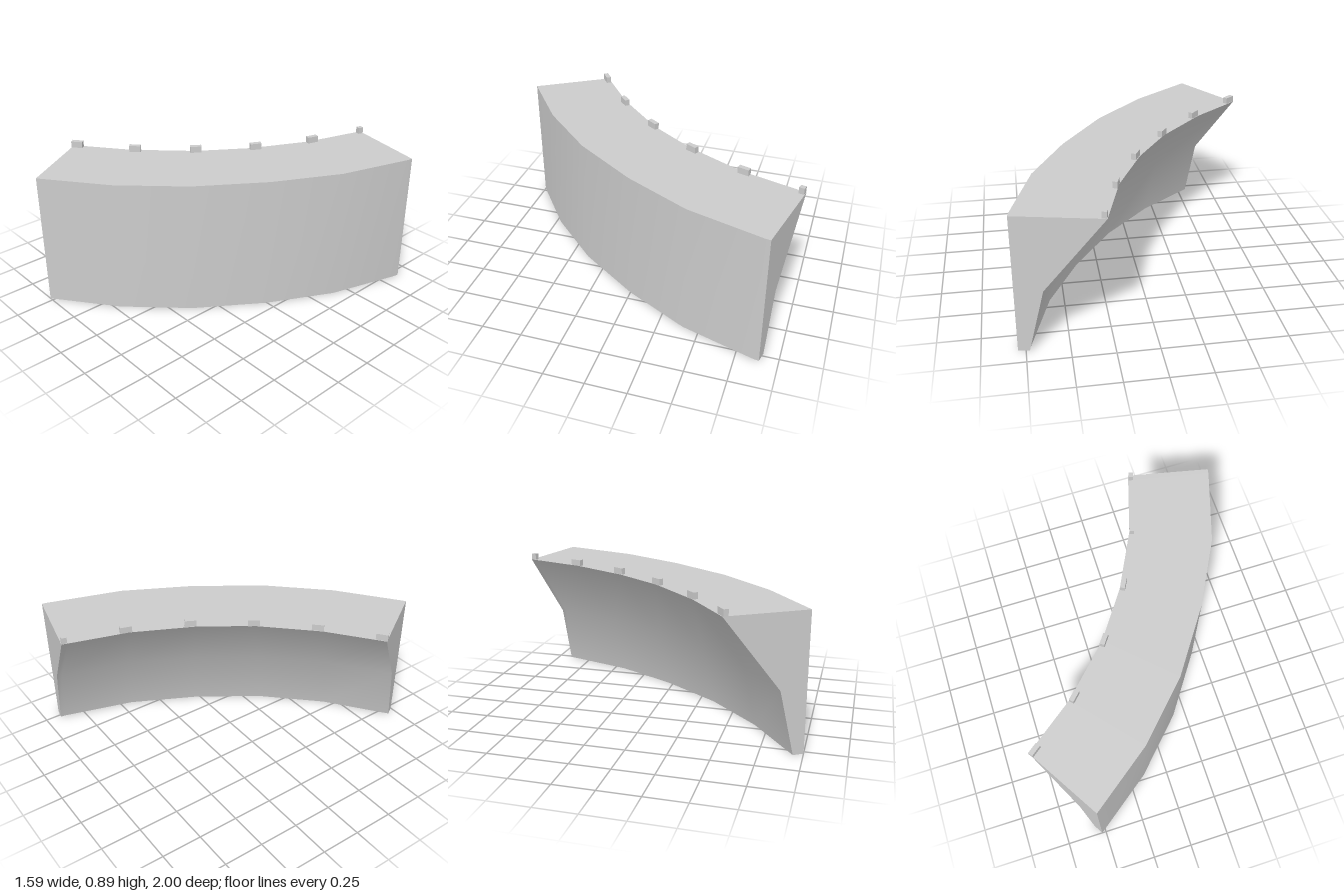
import * as THREE from 'three';
import { toCreasedNormals } from 'three/addons/utils/BufferGeometryUtils.js';

const TOP = 0.855;
// Plan of the curved wall, [x, z] from the front end to the back end
const OUTER = [[-0.525, 1], [-0.15, 0.72], [0.17, 0.39], [0.44, 0], [0.65, -0.4], [0.79, -0.86], [0.795, -0.89]];
const INNER = [[-0.795, 0.56], [-0.49, 0.33], [-0.2, 0.035], [0, -0.255], [0.175, -0.61], [0.28, -0.965], [0.29, -1]];
// Cross-section: [fraction from outer to inner edge, height]
const SECTION = [[0, 0], [0, TOP], [1, TOP], [0.315, 0.4], [0.13, 0]];

function wallGeometry() {
  const positions = [], index = [], n = SECTION.length, last = (OUTER.length - 1) * n;
  OUTER.forEach(([ox, oz], i) => {
    const [ix, iz] = INNER[i];
    for (const [t, y] of SECTION) positions.push(ox + (ix - ox) * t, y, oz + (iz - oz) * t);
  });
  for (let i = 0; i < OUTER.length - 1; i++) {
    for (let k = 0; k < n; k++) {
      const a = i * n + k, b = i * n + (k + 1) % n;
      index.push(a, a + n, b + n, a, b + n, b);
    }
  }
  // End caps fan out from the concave corner of the section
  for (const [p, q] of [[4, 0], [0, 1], [1, 2]]) {
    index.push(3, p, q, last + 3, last + q, last + p);
  }
  const geometry = new THREE.BufferGeometry();
  geometry.setAttribute('position', new THREE.Float32BufferAttribute(positions, 3));
  geometry.setIndex(index);
  return toCreasedNormals(geometry, 0.6);
}

export function createModel() {
  const group = new THREE.Group();
  group.name = 'curvedWall';
  const material = new THREE.MeshStandardMaterial({ color: 0xcccccc });

  const wall = new THREE.Mesh(wallGeometry(), material);
  wall.name = 'wall';
  group.add(wall);

  // Small blocks along the inner top edge: x, z, heading in degrees, length
  const blocks = [
    [-0.758, 0.557, 37, 0.072], [-0.455, 0.322, 45, 0.072], [-0.19, 0.042, 55, 0.072],
    [0.03, -0.272, 62, 0.072], [0.195, -0.625, 73, 0.072], [0.302, -0.978, 75, 0.033],
  ];
  blocks.forEach(([x, z, heading, length], i) => {
    const block = new THREE.Mesh(new THREE.BoxGeometry(length, 0.04, 0.03), material);
    block.name = `edgeBlock${i + 1}`;
    block.position.set(x, TOP + 0.02, z);
    block.rotation.y = THREE.MathUtils.degToRad(heading);
    group.add(block);
  });
  return group;
}
